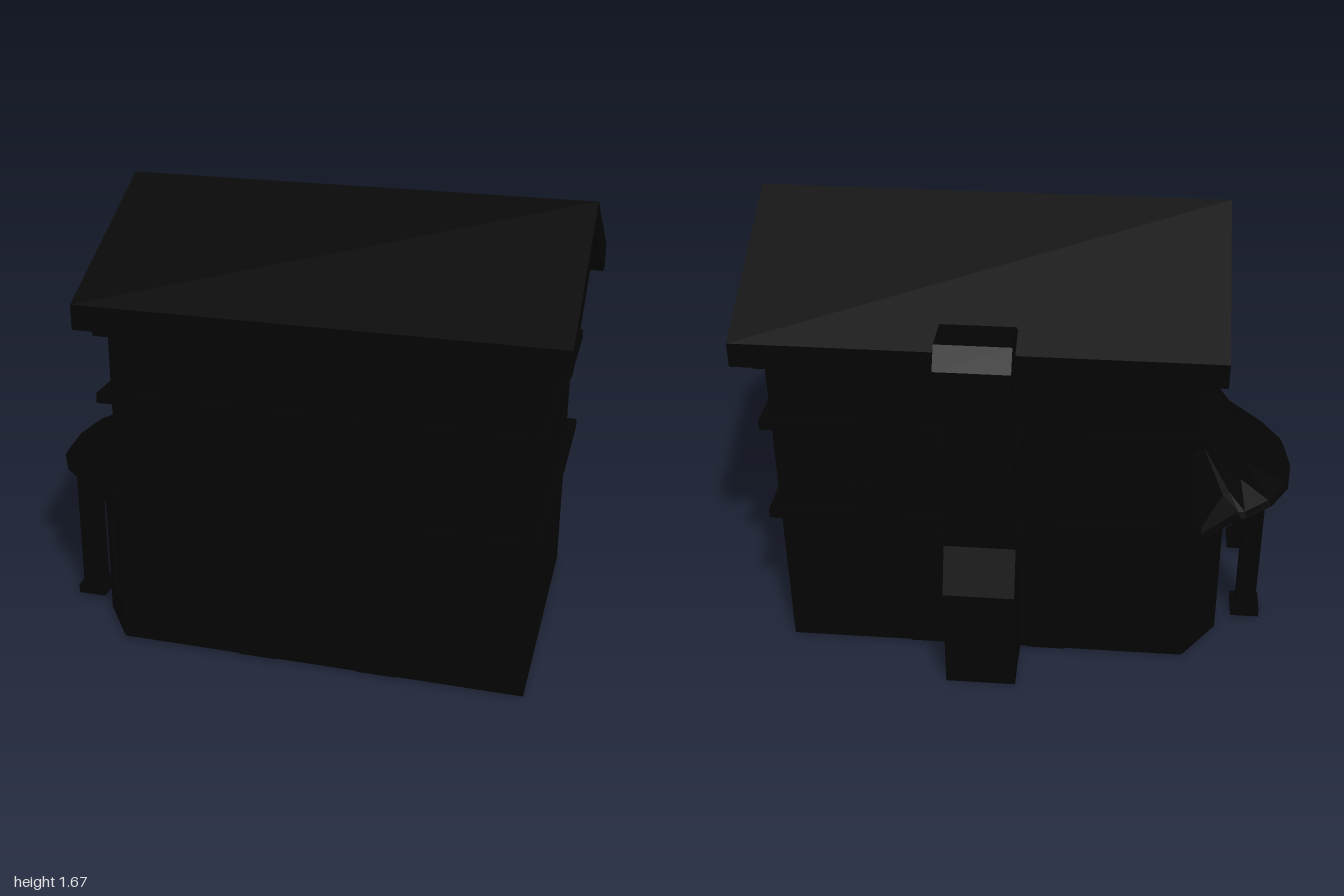
import * as THREE from 'three';

const ZC = 0.07; // centre line of the house in z
const R = Math.PI / 2;
const T = 0.025; // wall thickness, the depth of window recesses
const mat = new THREE.MeshStandardMaterial({ color: 0x040404, flatShading: true, side: THREE.DoubleSide });

export function createModel() {
  const house = new THREE.Group();
  house.name = 'house';

  const add = (name, geo, parent = house) => {
    const m = new THREE.Mesh(geo, mat);
    m.name = name;
    parent.add(m);
    return m;
  };
  // box given by its limits
  const box = (name, x0, x1, y0, y1, z0, z1, parent) => {
    const m = add(name, new THREE.BoxGeometry(x1 - x0, y1 - y0, z1 - z0), parent);
    m.position.set((x0 + x1) / 2, (y0 + y1) / 2, (z0 + z1) / 2);
  };
  const vectors = (pts) => pts.map(([a, b]) => new THREE.Vector2(a, b));
  const extrude = (pts, depth, holes = []) => {
    const s = new THREE.Shape(vectors(pts));
    for (const h of holes) s.holes.push(new THREE.Path(vectors(h)));
    return new THREE.ExtrudeGeometry(s, { depth, bevelEnabled: false });
  };
  // (z, y) profile swept along x
  const prism = (name, pts, x0, x1) => {
    const g = extrude(pts.map(([z, y]) => [-z, y]), x1 - x0);
    g.rotateY(R);
    g.translate(x0, 0, 0);
    add(name, g);
  };

  // Outline of a window or door: [x, y of centre, width, height, height of pointed top]
  const outline = ([x, y, w, h, peak = 0], inset = 0) => {
    const a = w / 2 - inset, b = h / 2 - inset;
    const pts = [[x - a, y - b], [x + a, y - b], [x + a, y + b - peak]];
    if (peak) pts.push([x + a * 0.6, y + b - peak * 0.35], [x, y + b], [x - a * 0.6, y + b - peak * 0.35]);
    pts.push([x - a, y + b - peak]);
    return pts;
  };
  // Wall slab with recessed openings, each lined with a sunken frame
  const wall = (name, pts, openings, pos, turn) => {
    const g = new THREE.Group();
    g.name = name;
    add('slab', extrude(pts, T, openings.map((o) => outline(o))), g).position.z = -T;
    for (const o of openings) {
      add('frame', extrude(outline(o), T * 0.6, [outline(o, 0.012)]), g).position.z = -T;
    }
    g.position.set(...pos);
    g.rotation.y = turn;
    house.add(g);
  };
  const rect = (x0, x1, y0, y1) => [[x0, y0], [x1, y0], [x1, y1], [x0, y1]];
  const gable = (d, y0, y1, top) => [[-d, y0], [d, y0], [d, y1], [0, top], [-d, y1]];

  // Main body: solid core behind four wall slabs
  prism('core', gable(0.527 - T, 0.01, 1.27, 1.54).map(([d, y]) => [ZC + d, y]), -0.597 + T, 0.905 - T);
  const win = (x) => [x, 0.81, 0.16, 0.18];
  wall('frontWall', rect(-0.6, 0.905, 0.01, 1.26), [-0.29, 0.15, 0.58].map(win), [0, 0, 0.597], 0);
  wall('backWall', rect(-0.905, 0.6, 0.01, 1.26), [0.29, -0.58].map(win), [0, 0, -0.457], 2 * R);
  const attic = [0, 1.21, 0.27, 0.38, 0.12];
  const gableEnd = gable(0.527, 0.01, 1.28, 1.56);
  wall('leftWall', gableEnd, [
    ...[-0.325, 0, 0.325].map((x) => [x, 0.805, 0.14, 0.17]),
    ...[-0.35, 0.35].map((x) => [x, 0.3, 0.115, 0.22]),
    [0, 0.205, 0.25, 0.36], attic,
  ], [0.905, 0, ZC], R);
  wall('rightWall', gableEnd, [attic], [-0.6, 0, ZC], -R);

  // Shallow pilasters, front and back
  for (const x of [-0.15, 0.3]) {
    for (const z of [0.595, -0.462]) box('pilaster', x, x + 0.145, 0.01, 1.24, z, z + 0.007);
  }

  // Roof: two thick slopes with fascias and a flat soffit at the eaves
  const chevron = (d, top, edgeTop, edgeBottom, inner, under) => [
    [ZC + d, edgeBottom], [ZC + d, edgeTop], [ZC, top], [ZC - d, edgeTop],
    [ZC - d, edgeBottom], [ZC - inner, edgeBottom], [ZC, under], [ZC + inner, edgeBottom],
  ];
  prism('roof', chevron(0.618, 1.67, 1.35, 1.26, 0.558, 1.57), -0.69, 1.0);
  prism('rakeMoulding', chevron(0.565, 1.575, 1.262, 1.225, 0.53, 1.535), -0.64, 0.94);

  // Chimney stack
  box('chimneyShaft', 0.03, 0.27, 0.012, 1.3, -0.59, -0.44);
  prism('chimneyFoot', [[-0.44, 0.012], [-0.59, 0.012], [-0.665, 0], [-0.665, 0.41], [-0.59, 0.6], [-0.44, 0.6]], 0.02, 0.28);
  prism('chimneyCap', [[-0.44, 1.26], [-0.685, 1.26], [-0.685, 1.355], [-0.635, 1.43], [-0.495, 1.43], [-0.46, 1.4], [-0.44, 1.4]], 0.02, 0.28);

  // Horizontal bands, stepping out around the chimney
  for (const [y0, y1] of [[0.592, 0.628], [0.975, 1.012]]) {
    box('band', -0.64, 0.94, y0, y1, -0.495, 0.635);
    box('chimneyBand', 0, 0.3, y0, y1, -0.61, -0.44);
  }
  box('chimneyBand', 0, 0.3, 1.225, 1.26, -0.61, -0.44);

  // Bay on the right side with angled corners
  const bay = extrude([[-0.55, -0.59], [-0.585, -0.585], [-0.705, -0.42], [-0.705, 0.28], [-0.585, 0.445], [-0.55, 0.45]], 0.57);
  bay.rotateX(-R);
  bay.translate(0, 0.01, 0);
  add('bayCore', bay);
  wall('bayFront', rect(-0.35, 0.35, 0.01, 0.58), [
    [-0.25, 0.3, 0.11, 0.3], [0, 0.215, 0.22, 0.39], [0.25, 0.3, 0.11, 0.3],
  ], [-0.73, 0, ZC], -R);
  const chamfer = Math.atan2(0.13, 0.18);
  for (const s of [-1, 1]) {
    wall('bayCorner', rect(-0.111, 0.111, 0.01, 0.58), [[0, 0.3, 0.1, 0.3]], [-0.665, 0, ZC + s * 0.438], -R + s * chamfer);
  }

  // Canopy: contours [x, distance from centre line] lofted from the eave up to the wall
  const eave = [[-0.62, 0.545], [-0.79, 0.37], [-0.815, 0.367], [-0.91, 0.284], [-0.98, 0.162], [-1, 0]];
  const scaled = (k, kd) => eave.map(([x, d]) => [-0.6 + (x + 0.6) * k, d * kd]);
  const rows = [
    [0.565, eave.map(([, d]) => [-0.6, d * 0.9])],
    [0.56, scaled(0.55, 0.9)],
    [0.53, scaled(0.72, 0.93)],
    [0.555, eave],
    [0.58, scaled(0.96, 0.985)],
    [0.65, [[-0.61, 0.5], [-0.72, 0.36], [-0.745, 0.34], [-0.79, 0.25], [-0.815, 0.14], [-0.82, 0]]],
    [0.83, [[-0.6, 0.4], [-0.625, 0.36], [-0.635, 0.3], [-0.645, 0.2], [-0.65, 0.1], [-0.65, 0]]],
    [0.845, [[-0.6, 0.39], [-0.615, 0.35], [-0.62, 0.3], [-0.625, 0.2], [-0.625, 0.1], [-0.625, 0]]],
    [0.98, [[-0.595, 0.36], [-0.6, 0.33], [-0.6, 0.28], [-0.6, 0.2], [-0.6, 0.1], [-0.6, 0]]],
  ];
  const pos = [], index = [], n = 2 * eave.length - 1;
  for (const [y, half] of rows) {
    const full = [...half, ...half.slice(0, -1).reverse().map(([x, d]) => [x, -d])];
    for (const [x, d] of full) pos.push(x, y, ZC + d);
  }
  for (let r = 0; r < rows.length - 1; r++) {
    for (let i = 0; i < n - 1; i++) {
      const a = r * n + i, b = a + 1, c = a + n, d = c + 1;
      index.push(a, c, b, b, c, d);
    }
  }
  const loft = new THREE.BufferGeometry();
  loft.setAttribute('position', new THREE.Float32BufferAttribute(pos, 3));
  loft.setIndex(index);
  const canopy = loft.toNonIndexed();
  canopy.computeVertexNormals();
  add('canopy', canopy);

  // Porch posts with plinths and brackets
  for (const s of [-1, 1]) {
    const post = new THREE.Group();
    post.name = 'porchPost';
    const z = ZC + s * 0.22;
    box('plinth', -0.905, -0.795, 0.01, 0.045, z - 0.055, z + 0.055, post);
    box('shaft', -0.89, -0.815, 0.04, 0.56, z - 0.037, z + 0.037, post);
    const bracket = extrude([[-0.82, 0.39], [-0.765, 0.45], [-0.765, 0.55], [-0.82, 0.55]], 0.07);
    add('bracket', bracket, post).position.z = z - 0.035;
    house.add(post);
  }
  box('porchBeam', -0.89, -0.815, 0.52, 0.56, ZC - 0.22, ZC + 0.22);

  return house;
}
